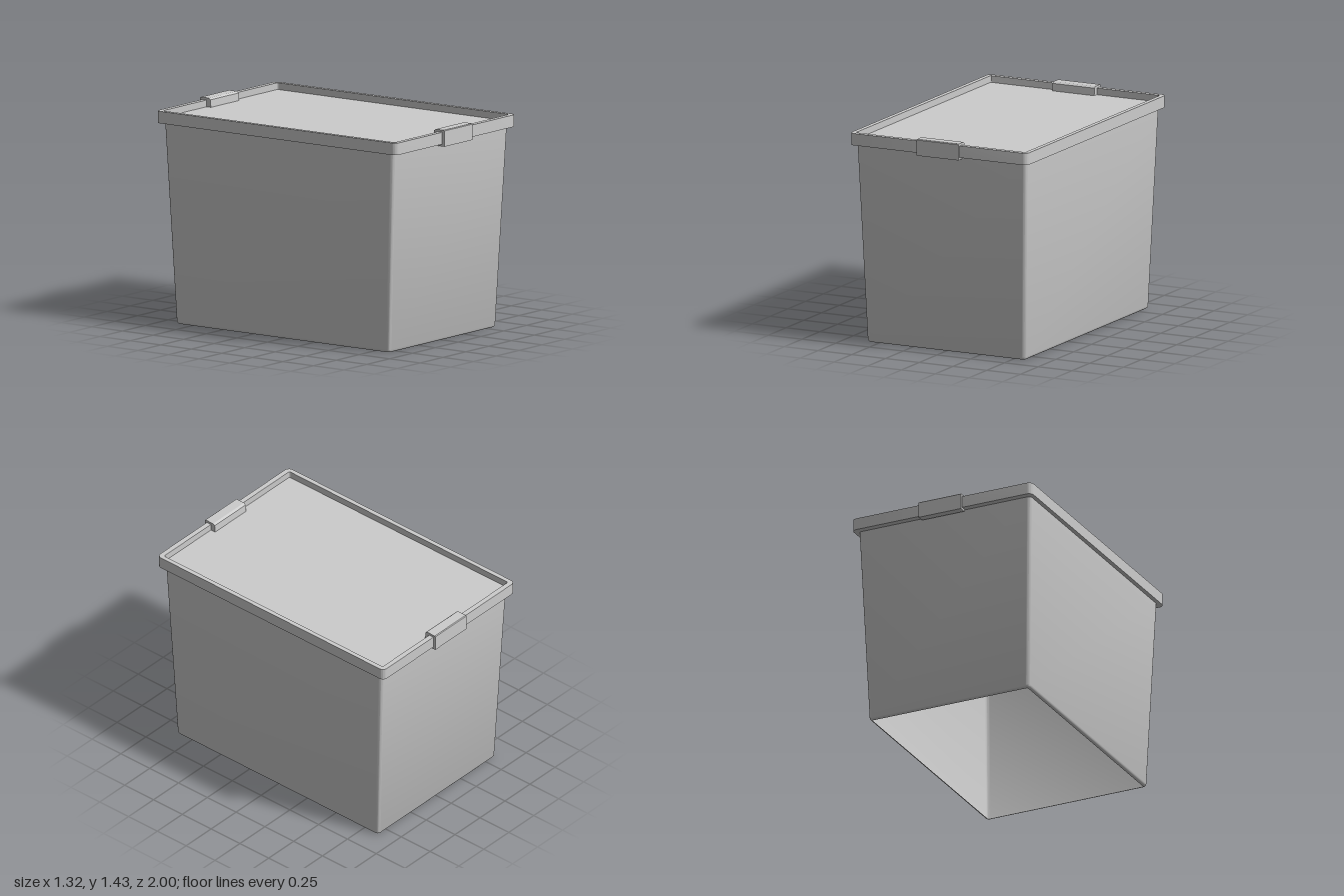
import * as THREE from 'three';
import { toCreasedNormals } from 'three/addons/utils/BufferGeometryUtils.js';

const grey = new THREE.MeshStandardMaterial({ color: 0xcccccc });
const greyThin = new THREE.MeshStandardMaterial({ color: 0xcccccc, side: THREE.DoubleSide });

function part(name, geometry, material = grey) {
  const mesh = new THREE.Mesh(geometry, material);
  mesh.name = name;
  return mesh;
}

// Rounded rectangle outline, given half sizes and corner radius
function roundedRect(hx, hz, r, Type = THREE.Shape) {
  const s = new Type();
  s.absarc(hx - r, hz - r, r, 0, Math.PI / 2);
  s.absarc(-hx + r, hz - r, r, Math.PI / 2, Math.PI);
  s.absarc(-hx + r, -hz + r, r, Math.PI, Math.PI * 1.5);
  s.absarc(hx - r, -hz + r, r, Math.PI * 1.5, Math.PI * 2);
  s.closePath();
  return s;
}

// Extrude an outline upwards from y0 to y1
function slab(shape, y0, y1) {
  const g = new THREE.ExtrudeGeometry(shape, { depth: y1 - y0, bevelEnabled: false, curveSegments: 6 });
  g.rotateX(-Math.PI / 2).translate(0, y0, 0);
  return toCreasedNormals(g, 0.6);
}

// Skin a stack of rounded rectangles [y, halfX, halfZ, radius]
function loft(levels, seg = 5) {
  const pos = [], index = [], n = 4 * (seg + 1);
  for (const [y, hx, hz, r] of levels) {
    for (let c = 0; c < 4; c++) {
      const sx = c === 0 || c === 3 ? 1 : -1, sz = c < 2 ? 1 : -1;
      for (let i = 0; i <= seg; i++) {
        const a = (c + i / seg) * Math.PI / 2;
        pos.push(sx * (hx - r) + r * Math.cos(a), y, sz * (hz - r) + r * Math.sin(a));
      }
    }
  }
  for (let l = 0; l < levels.length - 1; l++) {
    for (let i = 0; i < n; i++) {
      const a = l * n + i, b = l * n + (i + 1) % n;
      index.push(a, a + n, b, b, a + n, b + n);
    }
  }
  const g = new THREE.BufferGeometry();
  g.setAttribute('position', new THREE.Float32BufferAttribute(pos, 3));
  g.setIndex(index);
  return toCreasedNormals(g, 0.6);
}

export function createModel() {
  const model = new THREE.Group();
  model.name = 'storageBox';

  // Tapered thin-walled tub, open underneath, with a rounded bottom edge
  const levels = [];
  const r = 0.02;
  for (let i = 0; i <= 4; i++) {
    const a = (i / 4) * Math.PI / 2;
    const inset = r * (1 - Math.sin(a));
    levels.push([r * (1 - Math.cos(a)), 0.588 - inset, 0.876 - inset, 0.026 - inset * 0.8]);
  }
  levels.push([1.35, 0.63, 0.94, 0.026]);
  model.add(part('tub', loft(levels), greyThin));

  // Lid: raised rim around a recessed panel
  const lid = new THREE.Group();
  lid.name = 'lid';
  const rim = roundedRect(0.658, 0.983, 0.035);
  rim.holes.push(roundedRect(0.627, 0.948, 0.01, THREE.Path));
  lid.add(part('lidRim', slab(rim, 1.34, 1.42)));
  lid.add(part('lidPanel', slab(roundedRect(0.627, 0.948, 0.01), 1.34, 1.375)));
  model.add(lid);

  // Clips hooked over the rim at both ends; profile in (z, y)
  const profile = new THREE.Shape([
    [0.95, 1.325], [1.0, 1.325], [1.0, 1.43], [0.995, 1.435],
    [0.93, 1.435], [0.915, 1.425], [0.912, 1.375], [0.95, 1.375],
  ].map(([z, y]) => new THREE.Vector2(z, y)));
  const width = 0.31;
  for (const [name, turn] of [['frontClip', -Math.PI / 2], ['backClip', Math.PI / 2]]) {
    const g = new THREE.ExtrudeGeometry(profile, { depth: width, bevelEnabled: false });
    g.translate(0, 0, -width / 2).rotateY(turn);
    const clip = part(name, g);
    clip.position.x = 0.004;
    model.add(clip);
  }
  return model;
}
